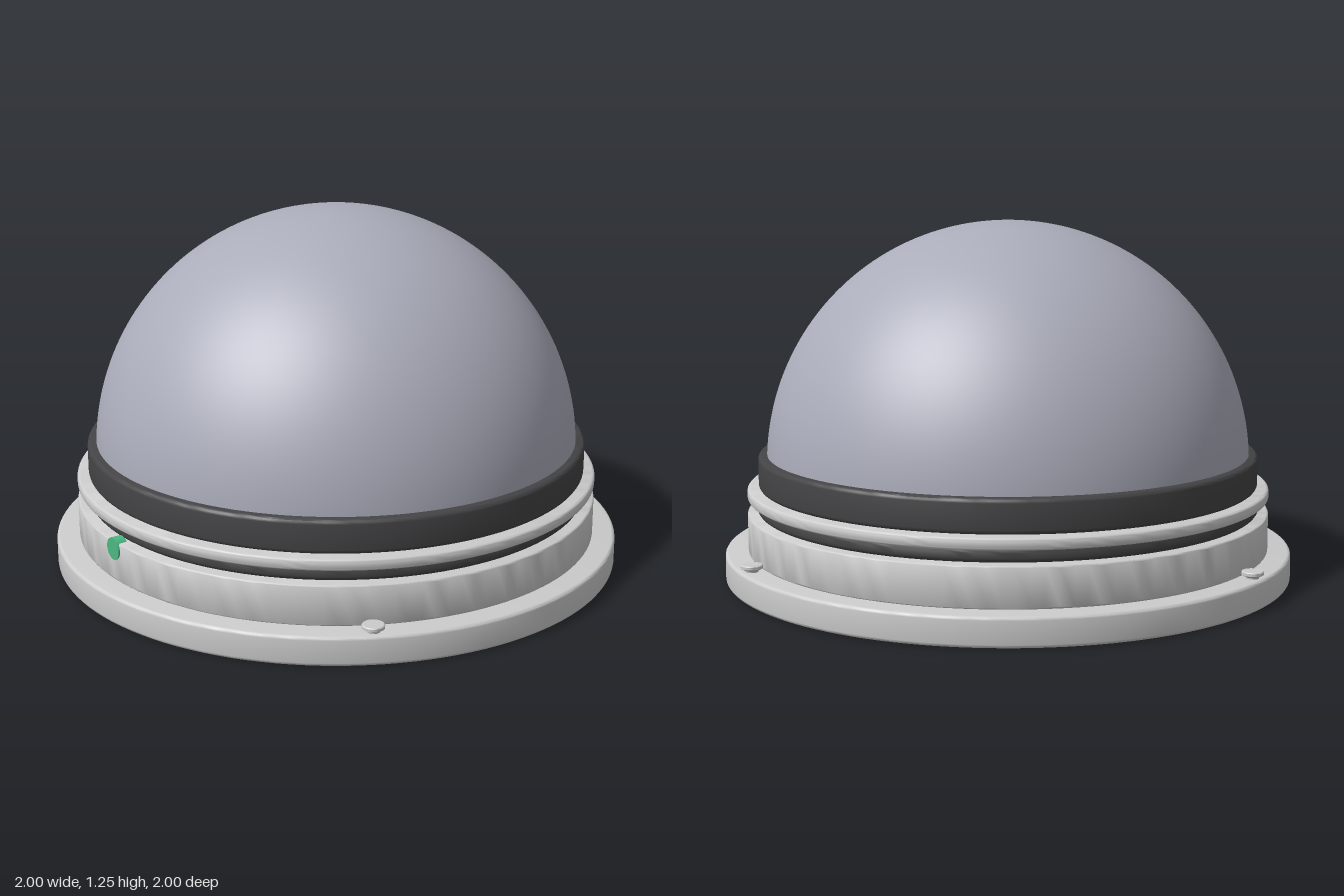
import * as THREE from 'three';
import { toCreasedNormals } from 'three/addons/utils/BufferGeometryUtils.js';

const grey = new THREE.MeshStandardMaterial({ color: 0xcccccc });
const dark = new THREE.MeshStandardMaterial({ color: 0x444446 });
const glass = new THREE.MeshStandardMaterial({ color: 0xaaacba });
const green = new THREE.MeshStandardMaterial({ color: 0x4cb883 });

// Solid disc from y0 to y1 with rounded rims
function disc(name, radius, y0, y1, bevel, material, segments = 128) {
  const points = [new THREE.Vector2(0, y0)];
  const steps = 4;
  for (const [cy, start] of [[y0 + bevel, -Math.PI / 2], [y1 - bevel, 0]]) {
    for (let i = 0; i <= steps; i++) {
      const a = start + (i / steps) * Math.PI / 2;
      points.push(new THREE.Vector2(radius - bevel + bevel * Math.cos(a), cy + bevel * Math.sin(a)));
    }
  }
  points.push(new THREE.Vector2(0, y1));
  const mesh = new THREE.Mesh(toCreasedNormals(new THREE.LatheGeometry(points, segments), 0.6), material);
  mesh.name = name;
  return mesh;
}

export function createModel() {
  const model = new THREE.Group();
  model.name = 'domeUnit';

  // Stacked housing rings
  model.add(
    disc('basePlate', 1, 0, 0.1, 0.012, grey),
    disc('housing', 0.92, 0.1, 0.238, 0.008, grey),
    disc('seal', 0.885, 0.238, 0.285, 0.015, dark),
    disc('clampRing', 0.92, 0.285, 0.325, 0.012, grey),
    disc('collar', 0.88, 0.325, 0.44, 0.015, dark)
  );

  // Hemispherical cover, slightly sunk into the collar
  const dome = new THREE.Mesh(
    new THREE.SphereGeometry(0.85, 128, 48, 0, Math.PI * 2, 0, Math.PI / 2), glass);
  dome.name = 'dome';
  dome.position.y = 0.4;
  model.add(dome);

  // Three screws around the base plate
  const profile = [[0.02, 0.09], [0.022, 0.105], [0.037, 0.113], [0.037, 0.122], [0.034, 0.125], [0, 0.125]]
    .map(([r, y]) => new THREE.Vector2(r, y));
  const screwGeometry = toCreasedNormals(new THREE.LatheGeometry(profile, 32), 0.6);
  for (let i = 0; i < 3; i++) {
    const a = Math.PI + (i / 3) * Math.PI * 2;
    const screw = new THREE.Mesh(screwGeometry, grey);
    screw.name = 'screw';
    screw.position.set(0.96 * Math.sin(a), 0, 0.96 * Math.cos(a));
    model.add(screw);
  }

  // Indicator light on the front
  const light = new THREE.Mesh(new THREE.CylinderGeometry(0.038, 0.038, 0.037, 32), green);
  light.name = 'indicatorLight';
  light.rotation.x = Math.PI / 2;
  light.position.set(0, 0.213, 0.9055);
  model.add(light);

  return model;
}
